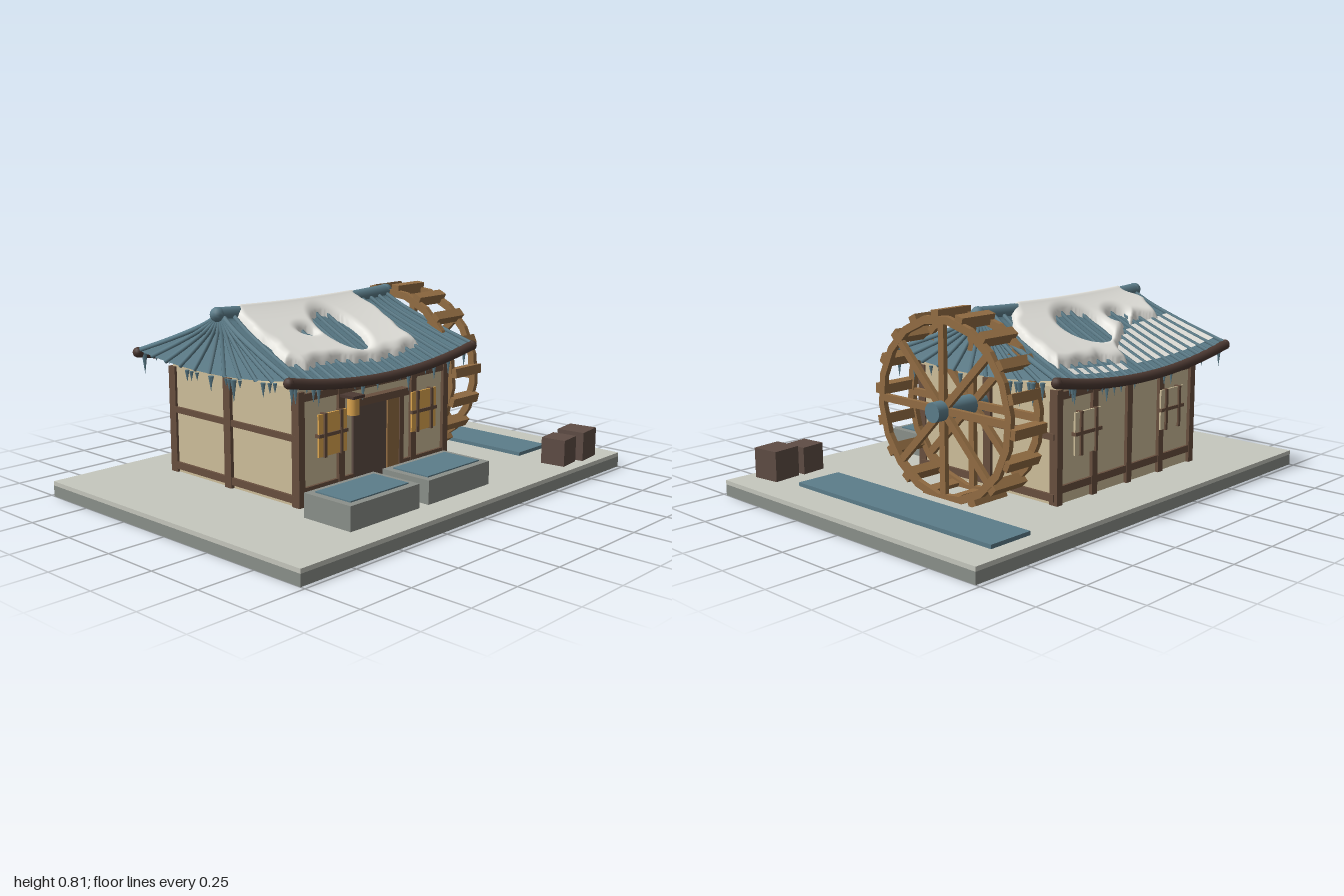
import * as THREE from 'three';
import { ParametricGeometry } from 'three/addons/geometries/ParametricGeometry.js';

const mat = (name, color, extra = {}) => Object.assign(new THREE.MeshStandardMaterial({ color, ...extra }), { name });
const M = {
  paving: mat('pale stone', 0xc6c8be),
  stone: mat('grey stone', 0x8b908a),
  plaster: mat('plaster', 0xcfbf9b),
  tile: mat('blue tile', 0x5c7d8a, { side: THREE.DoubleSide }),
  beam: mat('beam brown', 0x69503f),
  trim: mat('eave brown', 0x4d3a33),
  dark: mat('dark wood', 0x5f4d45),
  wood: mat('wheel wood', 0x936d43),
  amber: mat('lamp amber', 0xe0a850),
  snow: mat('snow', 0xe8e7e1, { side: THREE.DoubleSide }),
};

// Roof frame: centre, slope depth and the sagging, curved surface
const CX = -0.107, ZC = -0.135, D = 0.455;
const halfW = (t) => 0.475 + 0.065 * t;
const roofY = (x, z) => {
  const t = Math.abs(z - ZC) / D, u = (x - CX) / halfW(t);
  return 0.765 - 0.235 * t ** 0.85 + u * u * (0.012 + 0.043 * t);
};
const slope = (u, t, s, lift = 0) => {
  const x = CX + u * halfW(t), z = ZC + s * D * t;
  return new THREE.Vector3(x, roofY(x, z) + lift, z);
};
const hipEnd = (v, t, s, out = 0) => {
  const x = CX + s * halfW(t), z = ZC + v * D * t;
  return new THREE.Vector3(x + s * out, roofY(x, ZC + D * t) - 0.035 * t * (1 - v * v), z);
};

// Snow outline seen from above, with melted patches [x, z, rx, rz]
const OUTLINE = [[-0.53, -0.02], [-0.52, 0.1], [-0.56, 0.2], [-0.48, 0.23], [-0.3, 0.2], [-0.1, 0.23], [0.2, 0.22],
  [0.22, 0], [0.19, -0.13], [0.3, -0.25], [0.33, -0.5], [0.05, -0.47], [-0.08, -0.51], [-0.13, -0.42], [-0.3, -0.32],
  [-0.42, -0.29], [-0.52, -0.33], [-0.57, -0.22], [-0.52, -0.15]];
const PATCHES = [[-0.1, 0.05, 0.095, 0.125], [-0.27, 0.03, 0.035, 0.025], [-0.07, -0.29, 0.125, 0.105], [-0.32, -0.27, 0.055, 0.04]];
function snowDepth(x, z) {
  let inside = false, d = 9;
  OUTLINE.forEach(([ax, az], i) => {
    const [bx, bz] = OUTLINE[(i + 1) % OUTLINE.length], ex = bx - ax, ez = bz - az;
    const k = THREE.MathUtils.clamp(((x - ax) * ex + (z - az) * ez) / (ex * ex + ez * ez), 0, 1);
    d = Math.min(d, Math.hypot(x - ax - k * ex, z - az - k * ez));
    if ((az > z) !== (bz > z) && x < ax + ((z - az) / ez) * ex) inside = !inside;
  });
  if (!inside) d = -d;
  d += 0.005 * Math.sin(x * 47 + z * 20) + 0.004 * Math.sin(z * 61 - x * 13);
  for (const [px, pz, rx, rz] of PATCHES) {
    d = Math.min(d, (Math.hypot((x - px) / rx, (z - pz) / rz) - 1) * Math.min(rx, rz));
  }
  const k = THREE.MathUtils.clamp(d / 0.035, -1, 1);
  return k > 0 ? 0.038 * Math.sqrt(k * (2 - k)) : 0.04 * k;
}

export function createModel() {
  const root = new THREE.Group();
  const add = (name, geo, m, parent = root) => {
    const mesh = new THREE.Mesh(geo, m);
    mesh.name = name;
    parent.add(mesh);
    return mesh;
  };
  // Box given by its lower and upper limits
  const box = (name, m, x0, x1, y0, y1, z0, z1, parent) => {
    const b = add(name, new THREE.BoxGeometry(x1 - x0, y1 - y0, z1 - z0), m, parent);
    b.position.set((x0 + x1) / 2, (y0 + y1) / 2, (z0 + z1) / 2);
    return b;
  };
  const tube = (name, m, pts, r, sides = 6, parent = root) =>
    add(name, new THREE.TubeGeometry(new THREE.CatmullRomCurve3(pts), pts.length * 2, r, sides), m, parent);
  const line = (n, f) => Array.from({ length: n + 1 }, (_, i) => f(i / n));
  let seed = 7;
  const rnd = () => (seed = (seed * 16807) % 2147483647) / 2147483647;

  // Ground slab
  box('groundBase', M.stone, -1, 1, 0, 0.047, -0.73, 0.73);
  box('groundTop', M.paving, -1, 1, 0.047, 0.065, -0.73, 0.73);

  // House walls and timber frame
  box('walls', M.plaster, -0.55, 0.33, 0.065, 0.53, -0.49, 0.26);
  for (const [z, xs] of [[0.255, [-0.545, -0.325, 0.11, 0.32]], [-0.485, [-0.545, -0.325, -0.11, 0.11, 0.32]]]) {
    for (const x of xs) box('post', M.beam, x - 0.016, x + 0.016, 0.065, 0.52, z - 0.02, z + 0.02);
    box('topBeam', M.beam, -0.555, 0.335, 0.48, 0.51, z - 0.017, z + 0.017);
  }
  box('backSill', M.beam, -0.55, 0.33, 0.11, 0.14, -0.502, -0.48);
  box('frontSillRight', M.beam, 0.03, 0.33, 0.11, 0.14, 0.25, 0.272);
  box('frontSillLeft', M.beam, -0.55, -0.25, 0.11, 0.14, 0.25, 0.272);
  for (const x of [-0.55, 0.33]) {
    box('sidePost', M.beam, x - 0.015, x + 0.015, 0.065, 0.52, -0.155, -0.115);
    box('sideRail', M.beam, x - 0.012, x + 0.012, 0.325, 0.35, -0.49, 0.26);
    box('sideSill', M.beam, x - 0.012, x + 0.012, 0.08, 0.11, -0.49, 0.26);
  }

  // Door: dark leaf, sliding light leaf and lintel
  box('doorDark', M.dark, -0.255, -0.06, 0.07, 0.43, 0.25, 0.272);
  box('doorLight', M.wood, -0.06, 0.03, 0.07, 0.42, 0.25, 0.28);
  box('doorPost', M.beam, 0.01, 0.035, 0.07, 0.43, 0.25, 0.285);
  box('lintel', M.beam, -0.275, 0.05, 0.42, 0.45, 0.25, 0.3);

  // Lattice windows, lit at the front
  for (const [z, s, pane] of [[0.26, 1, M.amber], [-0.49, -1, M.plaster]]) {
    for (const x of [-0.385, 0.165]) {
      const w = new THREE.Group();
      w.name = 'window';
      w.position.set(x, 0.335, z);
      root.add(w);
      box('pane', pane, -0.078, 0.078, -0.085, 0.085, s * 0.02 - 0.004, s * 0.02 + 0.004, w);
      for (const k of [-0.045, 0.045]) box('upright', M.beam, k - 0.007, k + 0.007, -0.088, 0.088, s * 0.018 - 0.014, s * 0.018 + 0.014, w);
      box('crossbar', M.beam, -0.08, 0.08, -0.007, 0.007, s * 0.018 - 0.012, s * 0.018 + 0.012, w);
    }
  }

  // Lantern by the door
  box('lanternBracket', M.trim, -0.335, -0.27, 0.468, 0.48, 0.26, 0.347);
  add('lantern', new THREE.CylinderGeometry(0.025, 0.025, 0.068, 16), M.amber).position.set(-0.303, 0.434, 0.315);

  // Roof surfaces, tile ribs and eave beams
  const roof = new THREE.Group();
  roof.name = 'roof';
  root.add(roof);
  for (const s of [-1, 1]) {
    add('roofSlope', new ParametricGeometry((a, t, p) => p.copy(slope(a * 2 - 1, t, s)), 24, 12), M.tile, roof);
    add('roofEnd', new ParametricGeometry((a, t, p) => p.copy(hipEnd(a * 2 - 1, Math.max(t, 0.001), s)), 16, 10), M.tile, roof);
    for (let i = 0; i <= 18; i++) {
      const u = i / 9 - 1;
      tube('tileRib', M.tile, line(5, (t) => slope(u, t, s, 0.004)), 0.009, 6, roof);
    }
    for (let i = 0; i <= 10; i++) tube('endRib', M.tile, line(4, (t) => hipEnd(i / 5 - 1, t, s, 0.003)), 0.009, 6, roof);
    tube('eaveBeam', M.trim, line(12, (a) => slope((a * 2 - 1) * 1.01, 1, s, -0.008)), 0.021, 8, roof);
    for (const e of [-1, 1]) {
      const p = slope(e * 1.01, 1, s, -0.008);
      add('beamEnd', new THREE.SphereGeometry(0.022, 10, 8), M.trim, roof).position.copy(p);
    }
  }
  tube('ridgeCap', M.tile, line(8, (a) => slope((a * 2 - 1) * 1.04, 0, 1, 0.002)), 0.028, 10, roof);
  for (const e of [-1, 1]) add('ridgeEnd', new THREE.SphereGeometry(0.03, 10, 8), M.tile, roof).position.copy(slope(e * 1.04, 0, 1, 0.002));

  // Icicles along all four eaves
  const icicle = (p) => {
    const h = 0.025 + 0.075 * rnd() ** 1.8;
    const c = add('icicle', new THREE.ConeGeometry(0.006 + h * 0.07, h, 6), M.tile, roof);
    c.rotation.x = Math.PI;
    c.position.set(p.x, p.y - 0.012 - h / 2, p.z);
  };
  for (const s of [-1, 1]) {
    for (let i = 0; i < 24; i++) icicle(slope((rnd() * 2 - 1) * 0.97, 0.97, s));
    for (let i = 0; i < 14; i++) icicle(hipEnd((rnd() * 2 - 1) * 0.95, 0.98, s));
  }

  // Snow blanket: keep only the cells that rise above the tiles
  const snow = new ParametricGeometry((a, b, p) => {
    const x = -0.6 + a * 0.97, z = -0.55 + b * 0.82;
    p.set(x, roofY(x, z) + snowDepth(x, z), z);
  }, 120, 110);
  const P = snow.attributes.position, ids = Array.from(snow.index.array), kept = [];
  for (let i = 0; i < ids.length; i += 3) {
    const tri = ids.slice(i, i + 3);
    if (tri.some((k) => P.getY(k) > roofY(P.getX(k), P.getZ(k)))) kept.push(...tri);
  }
  snow.setIndex(kept);
  snow.computeVertexNormals();
  add('snowBlanket', snow, M.snow, roof);

  // Thin snow strips lying between the ribs of the back slope
  for (let i = 0; i < 17; i++) {
    const u0 = i / 9 - 1 + 0.018, u1 = u0 + 0.075, x = CX + (u0 + 0.04) * 0.52;
    if ((x > -0.13 && x < -0.07) || x > 0.32) continue;
    const t0 = x < -0.1 ? (x < -0.35 ? 0.4 : 0.4 + (x + 0.35) * 0.9) : 0.82, t1 = x < -0.1 ? 0.9 - 0.08 * (x + 0.6) : 0.91;
    add('snowStrip', new ParametricGeometry((a, b, p) => p.copy(slope(u0 + a * (u1 - u0), t0 + b * (t1 - t0), -1, 0.007)), 1, 5), M.snow, roof);
  }

  // Water wheel: two rims with spokes, joined by paddles
  const wheel = new THREE.Group();
  wheel.name = 'waterWheel';
  wheel.position.set(0.475, 0.42, -0.11);
  root.add(wheel);
  const N = 18, ring = new THREE.Shape(), hole = new THREE.Path();
  for (let i = 0; i < N; i++) {
    const a = ((i + 0.25) / N) * Math.PI * 2;
    ring[i ? 'lineTo' : 'moveTo'](0.372 * Math.cos(a), 0.372 * Math.sin(a));
    hole[i ? 'lineTo' : 'moveTo'](0.34 * Math.cos(a), 0.34 * Math.sin(a));
  }
  ring.closePath();
  hole.closePath();
  ring.holes.push(hole);
  for (const x of [-0.079, 0.079]) {
    const rim = add('rim', new THREE.ExtrudeGeometry(ring, { depth: 0.022, bevelEnabled: false }).translate(0, 0, -0.011), M.wood, wheel);
    rim.rotation.y = Math.PI / 2;
    rim.position.x = x;
    for (let i = 0; i < 4; i++) {
      const spoke = add('spokePair', new THREE.BoxGeometry(0.02, 0.69, 0.03), M.wood, wheel);
      spoke.position.x = x;
      spoke.rotation.x = (i * Math.PI) / 4;
    }
  }
  for (let i = 0; i < N; i++) {
    const arm = new THREE.Group();
    arm.name = 'paddleArm';
    arm.rotation.x = ((i + 0.25) / N) * Math.PI * 2;
    wheel.add(arm);
    box('paddle', M.wood, -0.088, 0.088, 0.345, 0.39, -0.02, 0.02, arm);
  }
  const axle = add('axle', new THREE.CylinderGeometry(0.04, 0.04, 0.28, 20), M.tile, wheel);
  axle.rotation.z = Math.PI / 2;

  // Stone troughs with water, and the mill channel
  for (const x of [-0.62, -0.18]) {
    box('trough', M.stone, x, x + 0.385, 0.065, 0.163, 0.36, 0.6);
    box('troughWater', M.tile, x + 0.03, x + 0.355, 0.162, 0.168, 0.39, 0.57);
  }
  box('millChannel', M.tile, 0.645, 0.845, 0.065, 0.081, -0.65, 0.44);

  // Crates
  for (const [x, w, h, r] of [[0.68, 0.11, 0.115, 0.12], [0.82, 0.125, 0.127, 0.12]]) {
    const crate = box('crate', M.dark, x - w / 2, x + w / 2, 0.065, 0.065 + h, 0.622 - w / 2, 0.622 + w / 2);
    crate.rotation.y = r;
  }
  return root;
}
